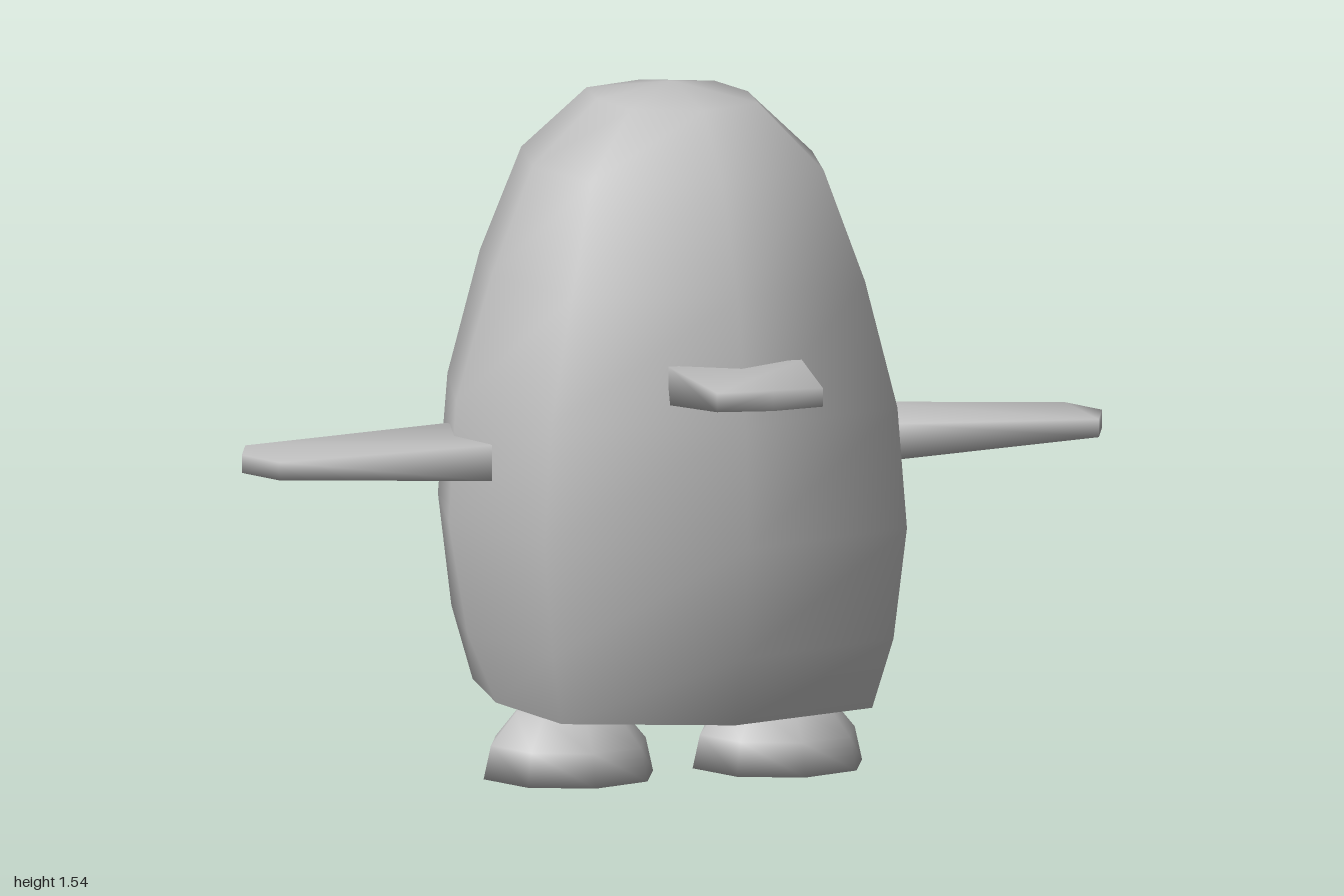
import * as THREE from 'three';
import { mergeVertices } from 'three/addons/utils/BufferGeometryUtils.js';

const grey = new THREE.MeshStandardMaterial({ color: 0xc0c0c0 });
grey.name = 'plain grey';

function part(name, geometry, parent) {
  const mesh = new THREE.Mesh(geometry, grey);
  mesh.name = name;
  parent.add(mesh);
  return mesh;
}

// Smooth shared-vertex geometry from positions and triangle indices
function smooth(positions, index) {
  let geo = new THREE.BufferGeometry();
  geo.setAttribute('position', new THREE.Float32BufferAttribute(positions, 3));
  geo.setIndex(index);
  geo = mergeVertices(geo, 1e-4);
  geo.computeVertexNormals();
  return geo;
}

// Eight-sided shell through rows of [y, half width, half depth, corner fullness]
function shell(rows) {
  const pos = [], index = [], n = 8;
  for (const [y, rx, rz, k] of rows) {
    for (let j = 0; j < n; j++) {
      const a = (j / n) * Math.PI * 2;
      const f = j % 2 ? k / Math.SQRT1_2 : 1;
      pos.push(Math.sin(a) * rx * f, y, Math.cos(a) * rz);
    }
  }
  for (let i = 0; i < rows.length - 1; i++) {
    for (let j = 0; j < n; j++) {
      const a = i * n + j, b = i * n + (j + 1) % n;
      if (rows[i][1] > 0) index.push(a, b, b + n);
      if (rows[i + 1][1] > 0) index.push(a, b + n, a + n);
      else if (rows[i][1] > 0) continue;
    }
  }
  // rows starting at a pole need their fan closed with the outer ring
  return smooth(pos, index);
}

// Tapered flat paddle along +z with a shallow pointed end
function paddle(length, shoulder, w0, w1, h0, h1) {
  const pos = [];
  for (const [z, w, h] of [[0, w0, h0], [shoulder, w1, h1]]) {
    pos.push(-w, -h, z, w, -h, z, w, h, z, -w, h, z);
  }
  pos.push(0, -h1, length, 0, h1, length);
  const index = [];
  const quad = (a, b, c, d) => index.push(a, b, c, a, c, d);
  for (let i = 0; i < 4; i++) {
    const j = (i + 1) % 4;
    quad(i, j, j + 4, i + 4);
  }
  quad(3, 2, 1, 0);                   // root
  quad(8, 5, 6, 9);                   // two halves of the pointed end
  quad(4, 8, 9, 7);
  index.push(7, 9, 6, 4, 5, 8);       // top and bottom of the point
  return smooth(pos, index);
}

export function createModel() {
  const model = new THREE.Group();
  model.name = 'bird';

  // Egg-shaped body with a shallow conical underside
  const body = new THREE.Group();
  body.name = 'body';
  body.position.z = -0.015;
  model.add(body);
  const rim = [0.17, 0.41, 0.455, 0.88];
  part('bodyShell', shell([
    rim,
    [0.33, 0.477, 0.518, 0.83],
    [0.58, 0.52, 0.545, 0.81],
    [0.85, 0.503, 0.53, 0.8],
    [1.13, 0.42, 0.472, 0.81],
    [1.37, 0.325, 0.36, 0.83],
    [1.512, 0.175, 0.225, 0.85],
    [1.545, 0, 0, 0.8],
  ]), body);
  part('underside', shell([[0.115, 0, 0, 0.8], rim]), body);

  // Wings
  for (const side of [1, -1]) {
    const wing = part(side > 0 ? 'leftWing' : 'rightWing',
      paddle(0.53, 0.483, 0.16, 0.122, 0.04, 0.02), model);
    wing.position.set(side * 0.47, 0.735, -0.018);
    wing.rotation.y = side * Math.PI / 2;
  }

  // Beak and drooping tail share one shape
  const beak = part('beak', paddle(0.275, 0.252, 0.155, 0.123, 0.043, 0.021), model);
  beak.position.set(0, 0.939, 0.437);
  const tail = part('tail', paddle(0.258, 0.236, 0.155, 0.123, 0.041, 0.021), model);
  tail.position.set(0, 0.328, -0.465);
  tail.rotation.set(0.35, Math.PI, 0, 'YXZ');

  // Domed feet with flat soles
  const profile = [[0, 0], [0.197, 0], [0.18, 0.075], [0.122, 0.145], [0.06, 0.162], [0, 0.167]]
    .map(([r, y]) => new THREE.Vector2(r, y));
  for (const side of [1, -1]) {
    const foot = part(side > 0 ? 'leftFoot' : 'rightFoot', new THREE.LatheGeometry(profile, 8), model);
    foot.position.set(side * 0.243, 0, -0.012);
  }
  return model;
}
